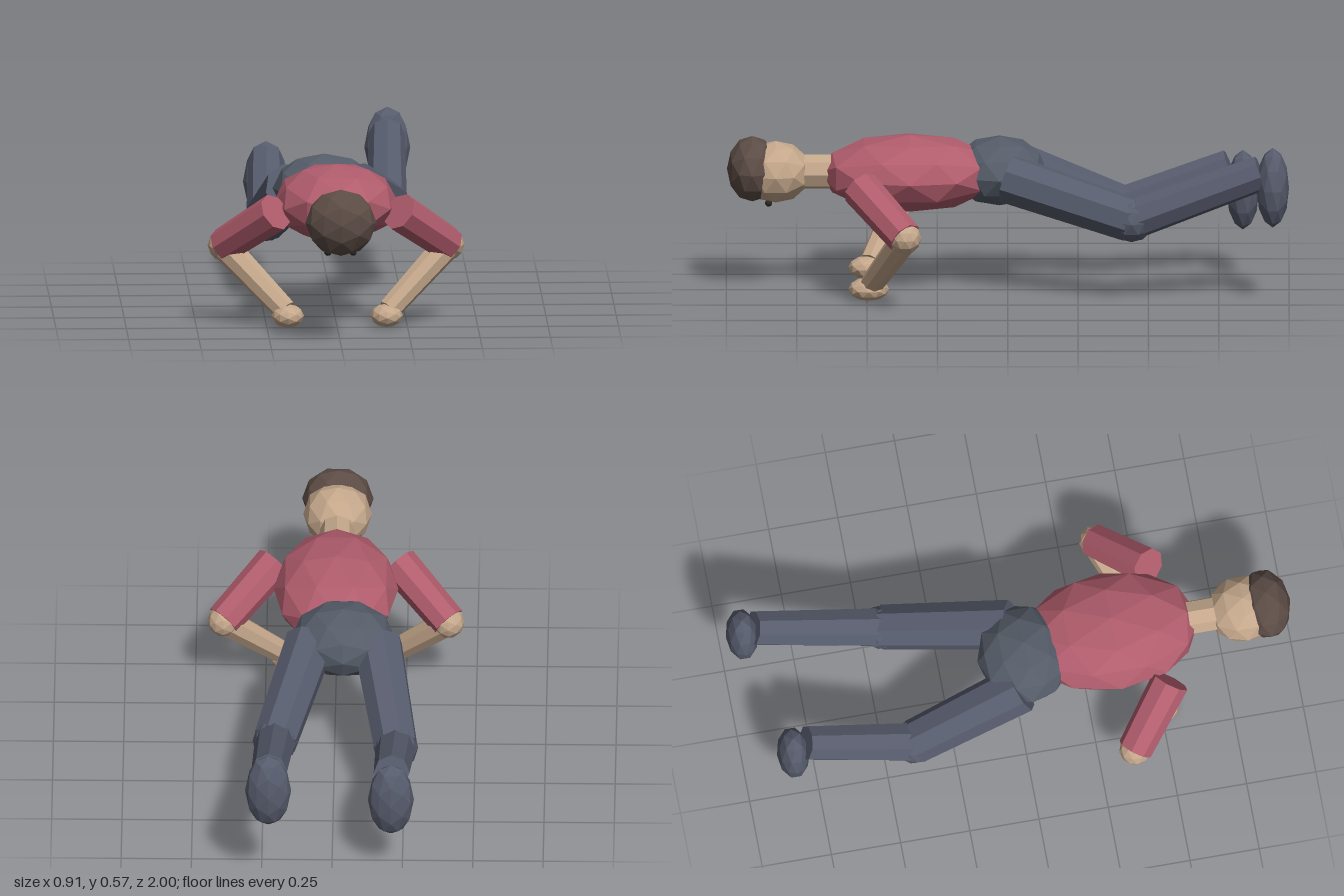
import * as THREE from 'three';

const paint = (name, color) => {
  const m = new THREE.MeshStandardMaterial({ color, flatShading: true });
  m.name = name;
  return m;
};

export function createModel() {
  const skin = paint('skin', 0xc4a78b);
  const shirt = paint('red shirt', 0xb05c6c);
  const hips = paint('grey trousers', 0x555c68);
  const trousers = paint('blue grey trousers', 0x575c6d);
  const hair = paint('brown hair', 0x5c4c45);
  const dark = paint('dark eyes', 0x2c2624);

  const figure = new THREE.Group();
  figure.name = 'proneFigure';

  // Faceted ellipsoid
  const blob = (name, mat, pos, radii, parent = figure) => {
    const mesh = new THREE.Mesh(new THREE.IcosahedronGeometry(1, 1), mat);
    mesh.name = name;
    mesh.position.set(...pos);
    mesh.scale.set(...radii);
    parent.add(mesh);
    return mesh;
  };

  // Eight-sided tapered limb between two joints
  const up = new THREE.Vector3(0, 1, 0);
  const limb = (name, mat, from, to, r0, r1, parent = figure) => {
    const a = new THREE.Vector3(...from);
    const b = new THREE.Vector3(...to);
    const dir = b.clone().sub(a);
    const mesh = new THREE.Mesh(new THREE.CylinderGeometry(r1, r0, dir.length(), 8), mat);
    mesh.name = name;
    mesh.position.copy(a).add(b).multiplyScalar(0.5);
    mesh.quaternion.setFromUnitVectors(up, dir.normalize());
    parent.add(mesh);
    return mesh;
  };

  // Body
  blob('torso', shirt, [0, 0.427, 0.35], [0.222, 0.137, 0.322]);
  blob('pelvis', hips, [-0.03, 0.428, 0.03], [0.185, 0.124, 0.168]);

  // Head, pointing forwards with the face down
  limb('neck', skin, [0, 0.43, 0.58], [0, 0.43, 0.74], 0.062, 0.062);
  blob('head', skin, [0, 0.43, 0.825], [0.122, 0.112, 0.125]);
  blob('hair', hair, [0, 0.441, 0.908], [0.127, 0.119, 0.09]);

  // Arms and eyes, mirrored
  for (const [side, s] of [['left', 1], ['right', -1]]) {
    blob(side + 'Eye', dark, [s * 0.045, 0.326, 0.85], [0.013, 0.013, 0.013]);
    const arm = new THREE.Group();
    arm.name = side + 'Arm';
    const elbow = [s * 0.4, 0.277, 0.365];
    limb('upperArm', shirt, [s * 0.22, 0.42, 0.525], elbow, 0.069, 0.063, arm);
    blob('elbow', skin, elbow, [0.057, 0.057, 0.057], arm);
    limb('forearm', skin, elbow, [s * 0.185, 0.06, 0.485], 0.051, 0.042, arm);
    blob('hand', skin, [s * 0.176, 0.042, 0.494], [0.058, 0.042, 0.072], arm);
    figure.add(arm);
  }

  // Legs, each in its own pose
  const legs = [
    { side: 'left', hip: [0.09, 0.425, 0], knee: [0.207, 0.3, -0.44],
      ankle: [0.222, 0.475, -0.9], foot: [0.225, 0.422, -0.942] },
    { side: 'right', hip: [-0.152, 0.425, 0], knee: [-0.222, 0.25, -0.4],
      ankle: [-0.212, 0.4, -0.79], foot: [-0.21, 0.317, -0.836] },
  ];
  for (const { side, hip, knee, ankle, foot } of legs) {
    const leg = new THREE.Group();
    leg.name = side + 'Leg';
    limb('thigh', trousers, hip, knee, 0.09, 0.081, leg);
    blob('knee', trousers, knee, [0.08, 0.08, 0.08], leg);
    limb('shin', trousers, knee, ankle, 0.072, 0.064, leg);
    blob('foot', trousers, foot, [0.082, 0.145, 0.058], leg);
    figure.add(leg);
  }

  return figure;
}
